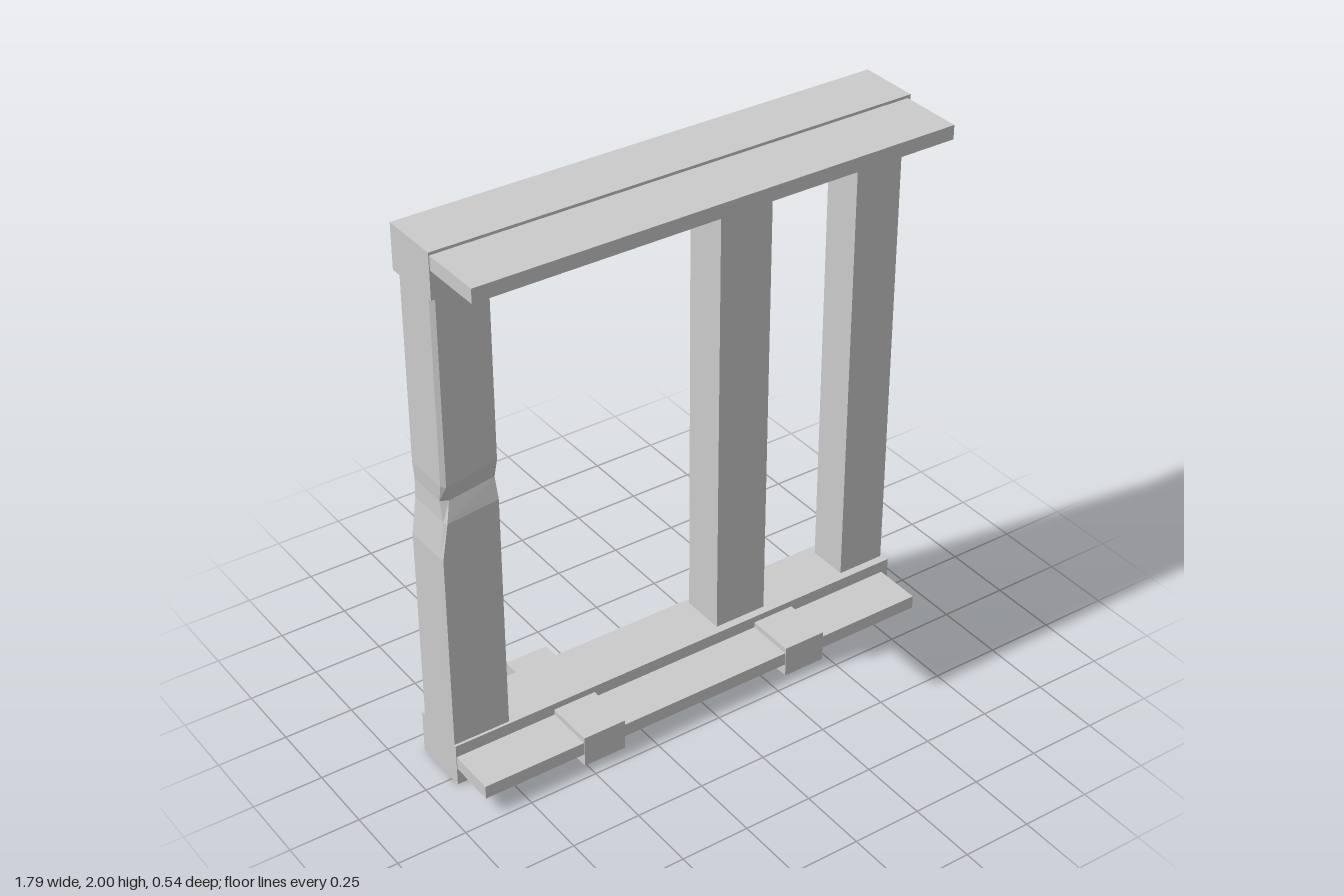
import * as THREE from 'three';

const material = new THREE.MeshStandardMaterial({ color: 0xcccccc, flatShading: true });

// Box given by its extents on each axis
function beam(name, [x0, x1], [y0, y1], [z0, z1]) {
  const mesh = new THREE.Mesh(new THREE.BoxGeometry(x1 - x0, y1 - y0, z1 - z0), material);
  mesh.name = name;
  mesh.position.set((x0 + x1) / 2, (y0 + y1) / 2, (z0 + z1) / 2);
  return mesh;
}

// Post with a worn outer edge and a slanted notch, lofted through stacked sections
function notchedPost() {
  const right = -0.69, back = -0.16;
  // outer x, front corner x, front z, height at the outer edge, height at the inner edge
  const sections = [
    [-0.9, -0.898, 0.025, 0.15, 0.15],
    [-0.9, -0.898, 0.025, 0.9, 0.9],
    [-0.882, -0.876, 0.025, 1.03, 1.05],
    [-0.88, -0.855, 0.005, 1.1, 1.125],
    [-0.885, -0.873, 0.025, 1.165, 1.2],
    [-0.885, -0.873, 0.025, 1.86, 1.86],
  ];
  const rings = sections.map(([outer, corner, front, yl, yr]) => [
    [outer, yl, back],
    [outer, yl, front - 0.015],
    [corner, yl, front],
    [right, yr, front],
    [right, yr, back],
  ]);
  const positions = [];
  for (let r = 0; r < rings.length - 1; r++) {
    for (let i = 0; i < 5; i++) {
      const j = (i + 1) % 5;
      const a = rings[r][i], b = rings[r][j], c = rings[r + 1][j], d = rings[r + 1][i];
      positions.push(...a, ...b, ...c, ...a, ...c, ...d);
    }
  }
  const geometry = new THREE.BufferGeometry();
  geometry.setAttribute('position', new THREE.Float32BufferAttribute(positions, 3));
  geometry.computeVertexNormals();
  const mesh = new THREE.Mesh(geometry, material);
  mesh.name = 'notchedPost';
  return mesh;
}

export function createModel() {
  const group = new THREE.Group();
  group.name = 'timberFrame';

  // Horizontal beams and their front ledges
  group.add(
    beam('topBeam', [-0.895, 0.88], [1.84, 2], [-0.18, 0.04]),
    beam('topLedge', [-0.892, 0.868], [1.94, 1.99], [0.02, 0.27]),
    beam('bottomBeam', [-0.9, 0.895], [0, 0.16], [-0.18, 0.035]),
    beam('bottomLedge', [-0.898, 0.868], [0.066, 0.115], [0.02, 0.213]),
  );

  // Uprights
  group.add(
    notchedPost(),
    beam('middlePost', [0.165, 0.365], [0.15, 1.86], [-0.16, 0.005]),
    beam('leftPost', [0.705, 0.885], [0.15, 1.95], [-0.145, 0.005]),
  );

  // Joist ends passing through the bottom beam
  for (const x of [-0.52, 0.305]) {
    group.add(beam('joistEnd', [x, x + 0.16], [0.02, 0.136], [-0.267, 0.216]));
  }
  return group;
}
